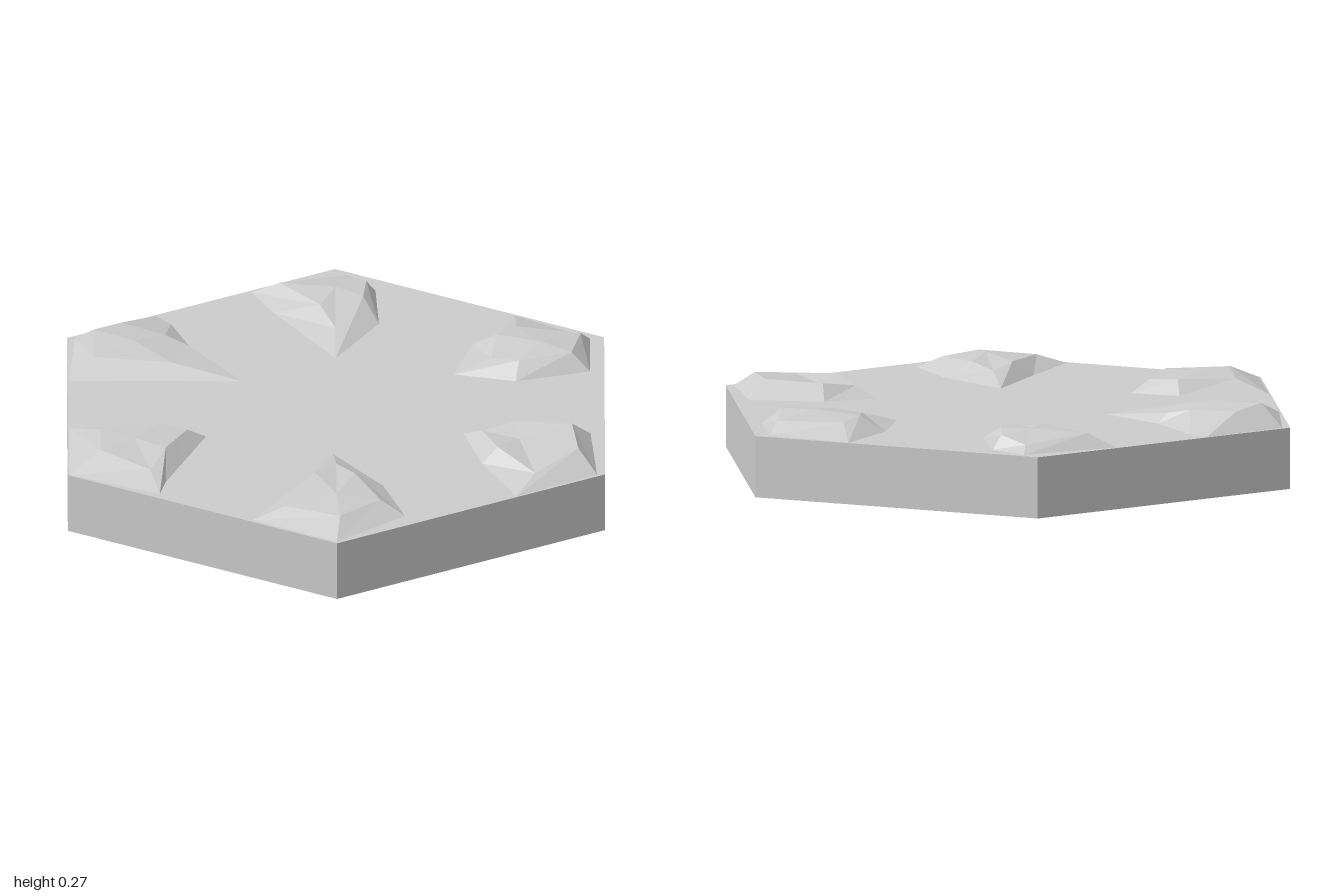
import * as THREE from 'three';

const H = 0.2; // tile height

// Rocky mounds: ground outline [x, z], crest ring [x, y, z] and middle point, counter-clockwise from above
const MOUNDS = {
  backMound: {
    outline: [[0, -0.35], [0.14, -0.6], [0.13, -0.84], [0.04, -0.95], [-0.27, -0.83], [-0.2, -0.68]],
    crest: [[0, 0.225, -0.52], [0.09, 0.25, -0.7], [0.1, 0.245, -0.82], [0.03, 0.225, -0.9], [-0.18, 0.245, -0.81], [-0.05, 0.25, -0.64]],
    middle: [0, 0.255, -0.76],
  },
  backRightMound: {
    outline: [[-0.86, -0.19], [-0.3, -0.18], [-0.45, -0.38], [-0.53, -0.6], [-0.58, -0.66], [-0.84, -0.5]],
    crest: [[-0.78, 0.25, -0.26], [-0.53, 0.24, -0.24], [-0.48, 0.235, -0.38], [-0.55, 0.25, -0.42], [-0.69, 0.255, -0.5], [-0.78, 0.27, -0.42]],
    middle: [-0.65, 0.265, -0.35],
  },
  backLeftMound: {
    outline: [[0.38, -0.23], [0.58, -0.18], [0.82, -0.25], [0.82, -0.49], [0.58, -0.66], [0.44, -0.45]],
    crest: [[0.5, 0.235, -0.28], [0.59, 0.245, -0.24], [0.76, 0.255, -0.28], [0.79, 0.24, -0.45], [0.58, 0.24, -0.5], [0.52, 0.25, -0.42]],
    middle: [0.66, 0.26, -0.35],
  },
  frontLeftMound: {
    outline: [[0.47, 0.42], [0.58, 0.66], [0.84, 0.5], [0.82, 0.2], [0.58, 0.15], [0.41, 0.2]],
    crest: [[0.52, 0.25, 0.4], [0.64, 0.23, 0.55], [0.78, 0.255, 0.42], [0.76, 0.26, 0.25], [0.58, 0.25, 0.21], [0.47, 0.235, 0.25]],
    middle: [0.59, 0.235, 0.31],
  },
  frontMound: {
    outline: [[0, 0.99], [0.22, 0.8], [0.15, 0.58], [-0.01, 0.35], [-0.14, 0.6], [-0.27, 0.83]],
    crest: [[0.01, 0.24, 0.88], [0.14, 0.24, 0.76], [0.06, 0.25, 0.59], [0, 0.235, 0.49], [-0.07, 0.25, 0.58], [-0.17, 0.235, 0.8]],
    middle: [0, 0.255, 0.75],
  },
  frontRightMound: {
    outline: [[-0.86, 0.5], [-0.57, 0.64], [-0.55, 0.55], [-0.42, 0.22], [-0.57, 0.15], [-0.86, 0.16]],
    crest: [[-0.76, 0.25, 0.42], [-0.6, 0.23, 0.52], [-0.55, 0.25, 0.4], [-0.48, 0.24, 0.25], [-0.57, 0.245, 0.21], [-0.76, 0.24, 0.24]],
    middle: [-0.65, 0.25, 0.33],
  },
};

// Hollow faceted shell: outline rises to the crest ring, which closes on the middle point
function moundGeometry({ outline, crest, middle }) {
  const n = outline.length;
  const points = [...outline.map(([x, z]) => [x, H, z]), ...crest, middle];
  const index = [];
  for (let i = 0; i < n; i++) {
    const j = (i + 1) % n;
    index.push(i, j, n + j, i, n + j, n + i, n + i, n + j, 2 * n);
  }
  const geometry = new THREE.BufferGeometry();
  geometry.setAttribute('position', new THREE.Float32BufferAttribute(points.flat(), 3));
  geometry.setIndex(index);
  const flat = geometry.toNonIndexed();
  flat.computeVertexNormals();
  return flat;
}

export function createModel() {
  const group = new THREE.Group();
  const material = new THREE.MeshStandardMaterial({ color: 0xcccccc, flatShading: true, side: THREE.DoubleSide });
  const add = (name, geometry) => {
    const mesh = new THREE.Mesh(geometry, material);
    mesh.name = name;
    group.add(mesh);
    return mesh;
  };

  // Six-sided rim, open below
  add('sideWalls', new THREE.CylinderGeometry(1, 1, H, 6, 1, true)).position.y = H / 2;

  // Flat top with an opening under each hollow mound
  const corners = Array.from({ length: 6 }, (_, i) => {
    const a = (i * Math.PI) / 3;
    return new THREE.Vector2(Math.sin(a), Math.cos(a));
  });
  const top = new THREE.Shape(corners);
  for (const { outline } of Object.values(MOUNDS)) {
    top.holes.push(new THREE.Path(outline.map(([x, z]) => new THREE.Vector2(x, -z))));
  }
  add('topSurface', new THREE.ShapeGeometry(top).rotateX(-Math.PI / 2)).position.y = H;

  // Mounds near the six corners
  for (const [name, data] of Object.entries(MOUNDS)) add(name, moundGeometry(data));

  return group;
}
